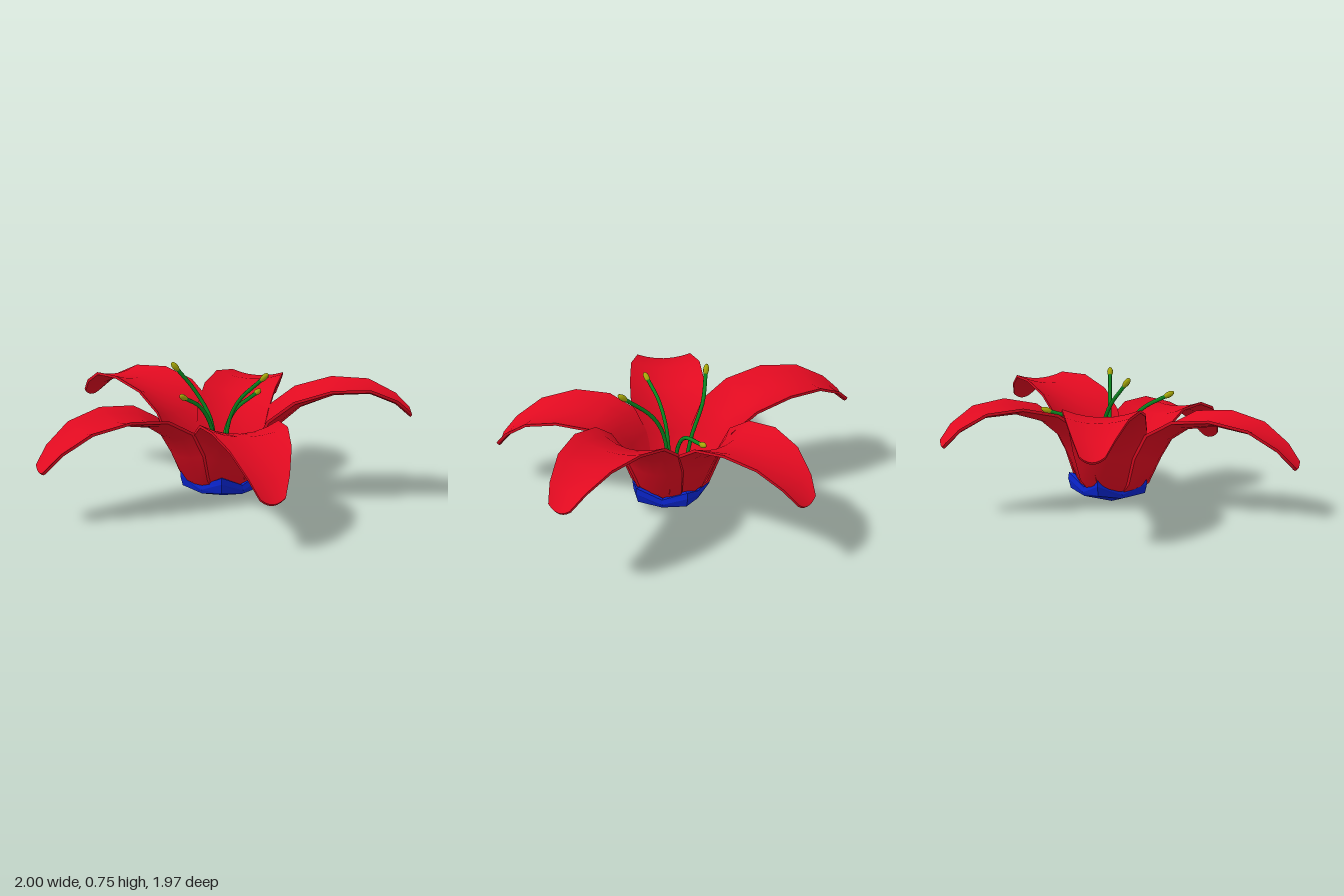
import * as THREE from 'three';

const mat = (color, extra = {}) => new THREE.MeshStandardMaterial({ color, ...extra });

// Petal stations: distance from the axis, height, half width, cupping
const STATIONS = [
  [0.12, 0.06, 0.115, 0.035], [0.2, 0.14, 0.165, 0.05], [0.27, 0.3, 0.2, 0.07],
  [0.34, 0.43, 0.215, 0.075], [0.46, 0.53, 0.217, 0.06], [0.65, 0.595, 0.205, 0.04],
  [0.85, 0.595, 0.162, 0.028], [1.0, 0.53, 0.108, 0.02], [1.08, 0.46, 0.065, 0.015],
];

// A thin cupped slab: upper skin, lower skin and a rim strip
function petalGeometry(length, lift) {
  const rows = 8, cols = 6, thickness = 0.016;
  const spine = new THREE.CatmullRomCurve3(STATIONS.map(([r, y]) =>
    new THREE.Vector3(r * length / 1.08, y + lift * (r - 0.12), 0)));
  const positions = [], index = [];
  const point = (i, j, depth) => {
    const t = i / rows, u = (j / cols) * 2 - 1;
    const p = spine.getPoint(t), d = spine.getTangent(t);
    const [, , width, cup] = STATIONS[i];
    const h = cup * u * u - depth;
    const bulge = 0.025 * (1 - u * u) * t ** 8;
    return [p.x - d.y * h + d.x * bulge, p.y + d.x * h + d.y * bulge, u * width];
  };
  const skin = (depth, up) => {
    const o = positions.length / 3, s = cols + 1;
    for (let i = 0; i <= rows; i++) for (let j = 0; j <= cols; j++) positions.push(...point(i, j, depth));
    for (let i = 0; i < rows; i++) for (let j = 0; j < cols; j++) {
      const a = o + i * s + j, b = a + 1, c = a + s, e = c + 1;
      index.push(...(up ? [a, b, c, b, e, c] : [a, c, b, b, c, e]));
    }
  };
  skin(0, true);
  skin(thickness, false);
  const loop = [];
  for (let i = 0; i < rows; i++) loop.push([i, 0]);
  for (let j = 0; j < cols; j++) loop.push([rows, j]);
  for (let i = rows; i > 0; i--) loop.push([i, cols]);
  for (let j = cols; j > 0; j--) loop.push([0, j]);
  const o = positions.length / 3, n = loop.length;
  for (const [i, j] of loop) positions.push(...point(i, j, 0), ...point(i, j, thickness));
  for (let k = 0; k < n; k++) {
    const a = o + 2 * k, b = o + 2 * ((k + 1) % n);
    index.push(a, b, a + 1, b, b + 1, a + 1);
  }
  const g = new THREE.BufferGeometry();
  g.setAttribute('position', new THREE.Float32BufferAttribute(positions, 3));
  g.setIndex(index);
  g.computeVertexNormals();
  return g;
}

// Five-pointed zigzag cup on a shallow cone, lofted from rings of ten corners
function calyxGeometry() {
  // radius and height at the points, then at the valleys
  const rings = [
    [0, 0, 0, 0], [0.235, 0.078, 0.19, 0.055], [0.25, 0.135, 0.2, 0.078],
    [0.245, 0.17, 0.195, 0.107], [0.215, 0.165, 0.17, 0.105], [0.17, 0.08, 0.15, 0.08], [0, 0.07, 0, 0.07],
  ];
  const positions = [], index = [], n = 10;
  for (const [rp, yp, rv, yv] of rings) for (let k = 0; k < n; k++) {
    const a = k * Math.PI / 5, r = k % 2 ? rp : rv;
    positions.push(Math.sin(a) * r, k % 2 ? yp : yv, Math.cos(a) * r);
  }
  for (let i = 0; i < rings.length - 1; i++) for (let k = 0; k < n; k++) {
    const a = i * n + k, b = i * n + (k + 1) % n, c = a + n, d = b + n;
    if (i > 0) index.push(a, b, c);
    if (i < rings.length - 2) index.push(b, d, c);
  }
  const g = new THREE.BufferGeometry();
  g.setAttribute('position', new THREE.Float32BufferAttribute(positions, 3));
  g.setIndex(index);
  const flat = g.toNonIndexed();
  flat.computeVertexNormals();
  return flat;
}

export function createModel() {
  const flower = new THREE.Group();
  flower.name = 'flower';

  // Petals: direction x, direction z, length, lift
  const red = mat(0xe00a20, { side: THREE.DoubleSide });
  [
    [-0.33, -0.91, 0.97, -0.06], [0.88, -0.58, 1.05, 0.05], [0.8, 0.61, 1.0, -0.2],
    [-0.41, 0.99, 1.07, -0.17], [-1.07, -0.09, 1.06, 0],
  ].forEach(([dx, dz, length, lift], i) => {
    const petal = new THREE.Mesh(petalGeometry(length, lift), red);
    petal.name = `petal${i + 1}`;
    petal.position.set(0.08, 0, -0.045);
    petal.rotation.y = Math.atan2(-dz, dx);
    flower.add(petal);
  });

  // Calyx
  const calyx = new THREE.Mesh(calyxGeometry(), mat(0x0a24cc, { flatShading: true, side: THREE.DoubleSide }));
  calyx.name = 'calyx';
  calyx.position.set(0.1, 0, -0.05);
  flower.add(calyx);

  // Stamens: curved filaments with an anther at each end
  const green = mat(0x0a8a20), yellow = mat(0xa8a808);
  [
    [[0.075, 0.07, -0.08], [0.07, 0.33, -0.1], [0.07, 0.46, -0.19], [0.07, 0.53, -0.4]],
    [[0.1, 0.07, -0.06], [0.13, 0.42, -0.06], [0.2, 0.56, -0.06], [0.36, 0.705, -0.06]],
    [[0.075, 0.07, -0.02], [0.075, 0.4, 0.02], [0.075, 0.54, 0.12], [0.08, 0.615, 0.26]],
    [[0.02, 0.07, -0.06], [-0.02, 0.4, -0.1], [-0.11, 0.58, -0.06], [-0.17, 0.71, 0.025]],
  ].forEach((pts, i) => {
    const path = new THREE.CatmullRomCurve3(pts.map((p) => new THREE.Vector3(...p)));
    const stamen = new THREE.Group();
    stamen.name = `stamen${i + 1}`;
    const filament = new THREE.Mesh(new THREE.TubeGeometry(path, 16, 0.011, 8), green);
    filament.name = 'filament';
    const anther = new THREE.Mesh(new THREE.SphereGeometry(1, 8, 8), yellow);
    anther.name = 'anther';
    anther.scale.set(0.017, 0.034, 0.017);
    const d = path.getTangent(1);
    anther.position.copy(path.getPoint(1)).addScaledVector(d, 0.018);
    anther.quaternion.setFromUnitVectors(new THREE.Vector3(0, 1, 0), d);
    stamen.add(filament, anther);
    flower.add(stamen);
  });

  return flower;
}
